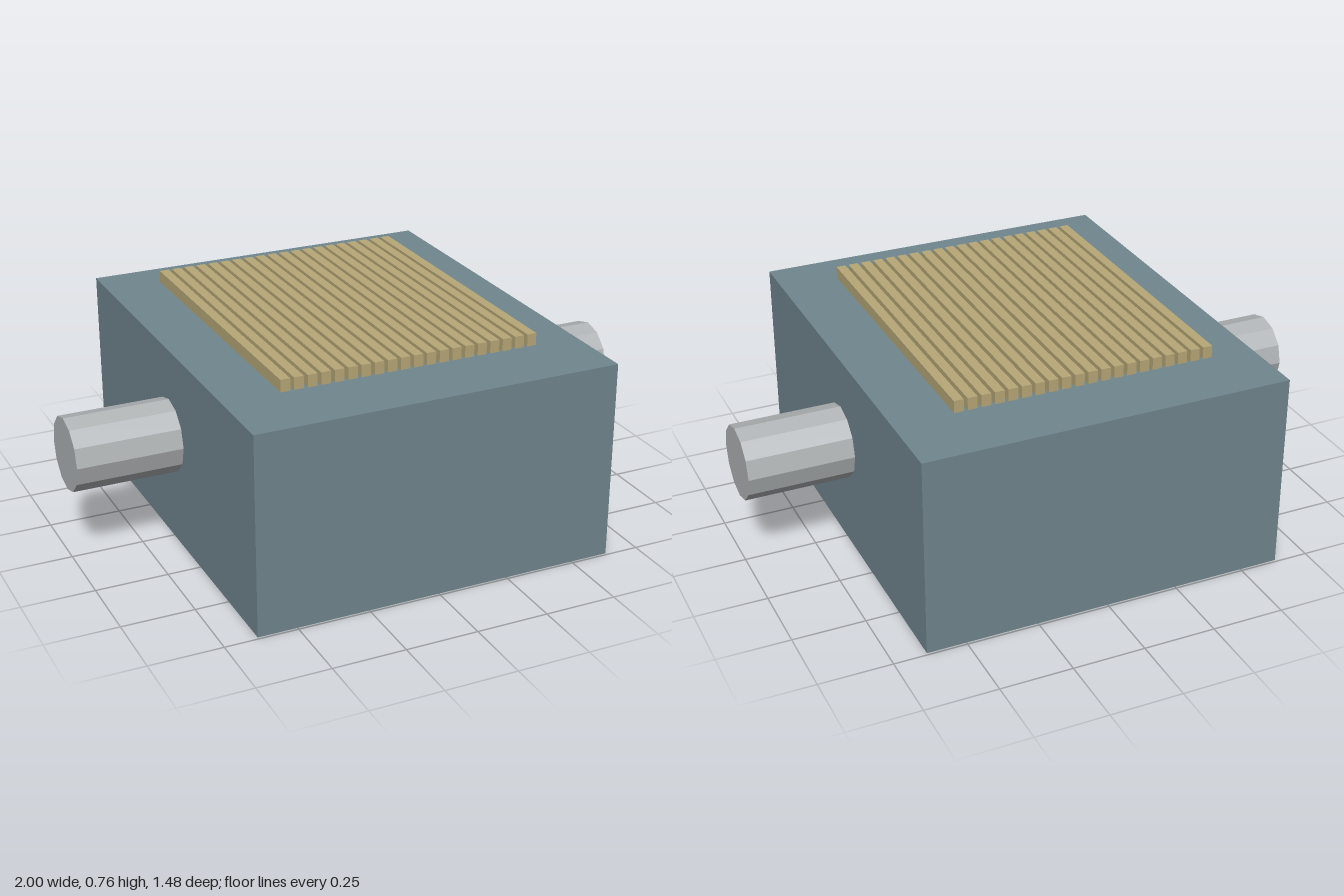
import * as THREE from 'three';

export function createModel() {
  const model = new THREE.Group();
  const bodyPaint = new THREE.MeshStandardMaterial({ name: 'slate blue', color: 0x70868e });
  const slatPaint = new THREE.MeshStandardMaterial({ name: 'tan', color: 0xb8a878 });
  const steel = new THREE.MeshStandardMaterial({ name: 'light grey', color: 0xb0b4b6 });
  steel.flatShading = true;

  const add = (name, geometry, material, x, y, z, parent = model) => {
    const mesh = new THREE.Mesh(geometry, material);
    mesh.name = name;
    mesh.position.set(x, y, z);
    parent.add(mesh);
    return mesh;
  };

  // Main housing
  add('body', new THREE.BoxGeometry(1.27, 0.692, 1.482), bodyPaint, 0, 0.346, 0);

  // Twelve-sided stub shafts, set slightly into both sides
  const shaftGeometry = new THREE.CylinderGeometry(0.128, 0.128, 0.4, 12).rotateZ(Math.PI / 2);
  for (const side of [-1, 1]) {
    add(side > 0 ? 'leftShaft' : 'rightShaft', shaftGeometry, steel, side * 0.8, 0.383, 0);
  }

  // Row of slats floating just above the housing
  const grille = new THREE.Group();
  grille.name = 'grille';
  model.add(grille);
  const slatGeometry = new THREE.BoxGeometry(0.033, 0.042, 1.08);
  for (let i = 0; i < 20; i++) {
    add(`slat${i + 1}`, slatGeometry, slatPaint, -0.444 + i * 0.046, 0.738, 0, grille);
  }

  return model;
}
